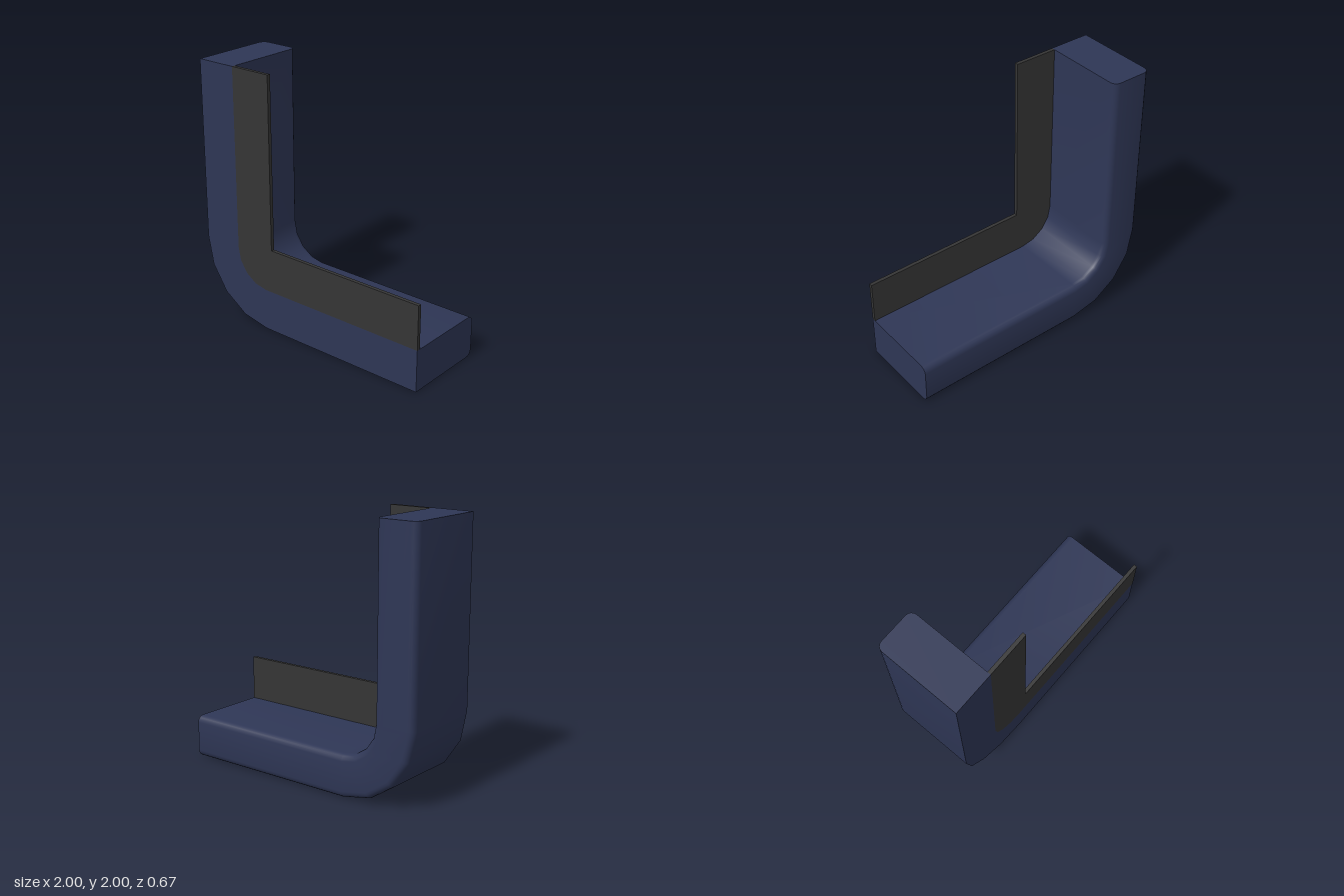
import * as THREE from 'three';
import { toCreasedNormals } from 'three/addons/utils/BufferGeometryUtils.js';

const FRONT = 0.333, BACK = -0.333; // depth range
const WIDTH = 0.325;                // thickness of the L-shaped body
const BEND = 0.6;                   // outer bend radius
const CX = -0.4, CY = 0.6;          // bend centre
const STEPS = 4;

// Cross-section: distance from the outer edge, z; rounded at the back only
function section() {
  const r = 0.05, pts = [[0, FRONT], [WIDTH, FRONT]];
  for (let i = 0; i <= 4; i++) {
    const a = (i / 4) * Math.PI / 2;
    pts.push([WIDTH - r + r * Math.cos(a), BACK + r - r * Math.sin(a)]);
  }
  for (let i = 0; i <= 4; i++) {
    const a = (i / 4) * Math.PI / 2;
    pts.push([r - r * Math.sin(a), BACK + r - r * Math.cos(a)]);
  }
  return pts;
}

// Sweep the section down the upright, round the bend and along the base
function bodyGeometry() {
  const stations = [[CX, 2, Math.PI]];
  for (let i = 0; i <= STEPS; i++) stations.push([CX, CY, Math.PI * (1 + i / STEPS / 2)]);
  stations.push([1, CY, Math.PI * 1.5]);

  const ring = section(), n = ring.length, pos = [], index = [];
  for (const [x, y, a] of stations) {
    for (const [d, z] of ring) {
      pos.push(x + (BEND - d) * Math.cos(a), y + (BEND - d) * Math.sin(a), z);
    }
  }
  for (let s = 0; s < stations.length - 1; s++) {
    for (let i = 0; i < n; i++) {
      const a = s * n + i, b = s * n + (i + 1) % n;
      index.push(a, a + n, b, b, a + n, b + n);
    }
  }
  // End caps
  const last = (stations.length - 1) * n;
  for (let i = 1; i < n - 1; i++) {
    index.push(0, i, i + 1, last, last + i + 1, last + i);
  }
  const geo = new THREE.BufferGeometry();
  geo.setAttribute('position', new THREE.Float32BufferAttribute(pos, 3));
  geo.setIndex(index);
  return toCreasedNormals(geo, 0.6);
}

// Thin L-shaped flange whose outer edge follows the inside of the bend
function flangeGeometry() {
  const r = BEND - WIDTH, shape = new THREE.Shape();
  shape.moveTo(CX - r, 2);
  for (let i = 0; i <= STEPS; i++) {
    const a = Math.PI * (1 + i / STEPS / 2);
    shape.lineTo(CX + r * Math.cos(a), CY + r * Math.sin(a));
  }
  shape.lineTo(1, CY - r);
  shape.lineTo(1, 0.667);
  shape.lineTo(-0.335, 0.667);
  shape.lineTo(-0.335, 2);
  shape.closePath();
  const geo = new THREE.ExtrudeGeometry(shape, { depth: 0.028, bevelEnabled: false });
  geo.translate(0, 0, FRONT - 0.028);
  return geo;
}

export function createModel() {
  const navy = new THREE.MeshStandardMaterial({ color: 0x2e3655 });
  navy.name = 'navy';
  const charcoal = new THREE.MeshStandardMaterial({ color: 0x353535 });
  charcoal.name = 'charcoal';

  const model = new THREE.Group();
  model.name = 'cornerTrim';
  const add = (name, geo, mat) => {
    const mesh = new THREE.Mesh(geo, mat);
    mesh.name = name;
    model.add(mesh);
  };
  add('cornerFrame', bodyGeometry(), navy);
  add('innerFlange', flangeGeometry(), charcoal);
  return model;
}
